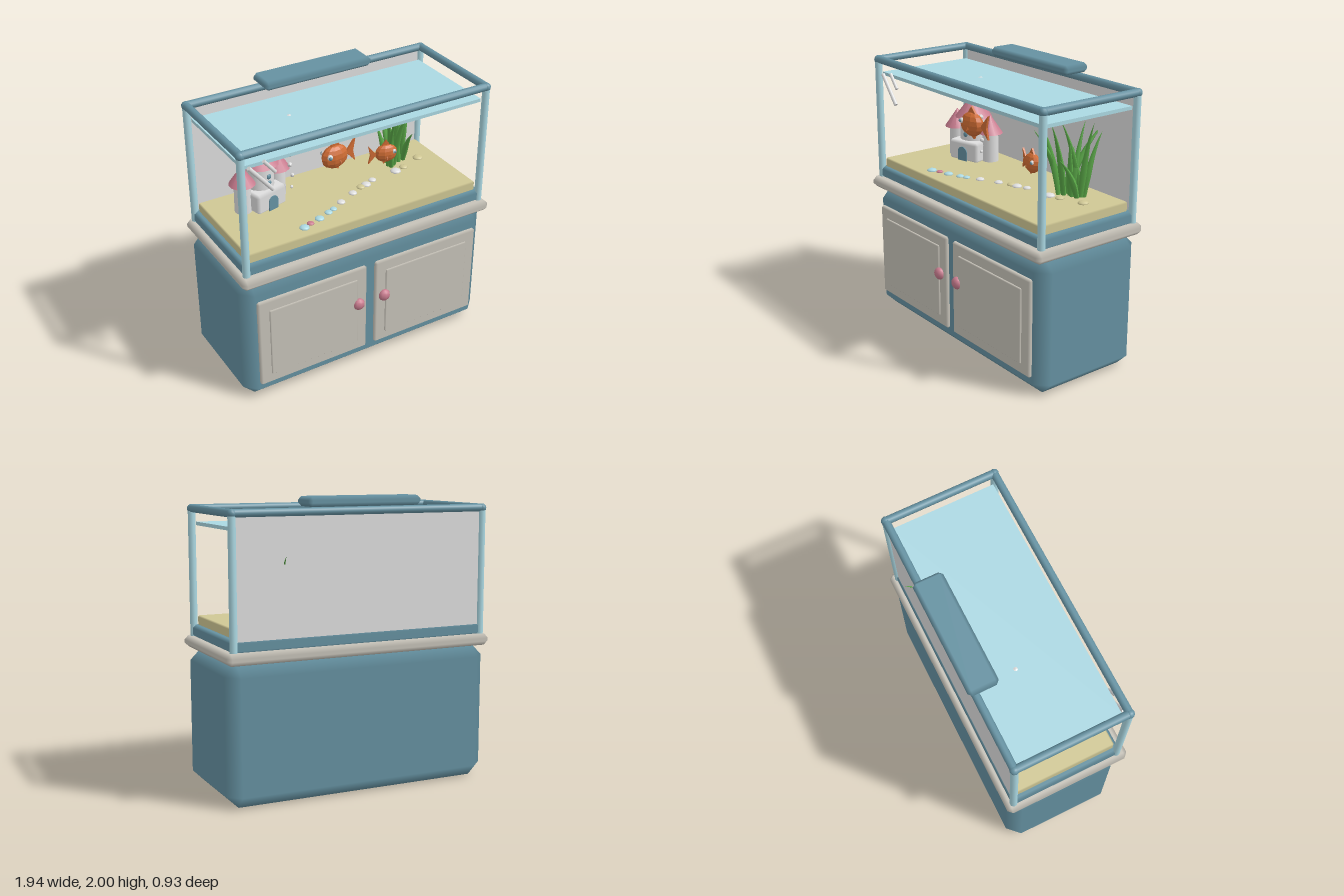
import * as THREE from 'three';
import { ConvexGeometry } from 'three/addons/geometries/ConvexGeometry.js';

const mat = (name, color, side = THREE.FrontSide) => {
  const m = new THREE.MeshStandardMaterial({ color, side });
  m.name = name;
  return m;
};

// Box with 45 degree edges, softly shaded: every corner point keeps the normal of its own face
function chamferBox(w, h, d, r) {
  const half = [w / 2, h / 2, d / 2], pts = [];
  for (let a = 0; a < 3; a++)
    for (const sx of [-1, 1]) for (const sy of [-1, 1]) for (const sz of [-1, 1])
      pts.push(new THREE.Vector3(...[sx, sy, sz].map((s, i) => s * (half[i] - (i === a ? 0 : r)))));
  const g = new ConvexGeometry(pts), p = g.attributes.position, n = g.attributes.normal;
  for (let i = 0; i < p.count; i++) {
    const v = [p.getX(i), p.getY(i), p.getZ(i)];
    n.setXYZ(i, ...v.map((c, k) => (Math.abs(Math.abs(c) - half[k]) < 1e-4 ? Math.sign(c) : 0)));
  }
  return g;
}

function flat(g) {
  const f = g.index ? g.toNonIndexed() : g;
  f.computeVertexNormals();
  return f;
}

// Curved blade: a tube whose rings shrink towards the tip
function bladeGeometry(base, tip, radius) {
  const mid = new THREE.Vector3(base.x * 0.75 + tip.x * 0.25, base.y + (tip.y - base.y) * 0.6, base.z * 0.75 + tip.z * 0.25);
  const curve = new THREE.QuadraticBezierCurve3(base, mid, tip);
  const n = 10, sides = 6, g = new THREE.TubeGeometry(curve, n, radius, sides);
  const p = g.attributes.position, v = new THREE.Vector3();
  for (let i = 0; i < p.count; i++) {
    const t = Math.floor(i / (sides + 1)) / n, c = curve.getPointAt(t);
    const k = t < 0.35 ? 0.65 + t : Math.max(0.02, Math.pow((1 - t) / 0.65, 0.85));
    v.fromBufferAttribute(p, i).sub(c).multiplyScalar(k).add(c);
    p.setXYZ(i, v.x, v.y, v.z);
  }
  g.computeVertexNormals();
  return g;
}

export function createModel() {
  const blue = mat('slate blue', 0x6591a1), beige = mat('warm grey', 0xc6c2b8);
  const pink = mat('rose', 0xca7d90), water = mat('water blue', 0xabd8e2);
  const white = mat('stone white', 0xdedede), sandMat = mat('sand', 0xcfc794, THREE.DoubleSide);
  const orange = mat('orange', 0xcf6c34), green = mat('leaf green', 0x58a546);

  const model = new THREE.Group();
  model.name = 'aquarium';
  const add = (parent, name, geo, material, x = 0, y = 0, z = 0) => {
    const m = new THREE.Mesh(geo, material);
    m.name = name;
    m.position.set(x, y, z);
    parent.add(m);
    return m;
  };
  // Chamfered box given by its limits
  const block = (parent, name, material, [x0, x1], [y0, y1], [z0, z1], r) =>
    add(parent, name, chamferBox(x1 - x0, y1 - y0, z1 - z0, r), material, (x0 + x1) / 2, (y0 + y1) / 2, (z0 + z1) / 2);
  // Round bar between two points
  const bar = (parent, name, material, a, b, r, sides = 12) => {
    const A = new THREE.Vector3(...a), B = new THREE.Vector3(...b), d = B.clone().sub(A);
    const m = add(parent, name, new THREE.CylinderGeometry(r, r, d.length(), sides), material);
    m.position.copy(A).add(B).multiplyScalar(0.5);
    m.quaternion.setFromUnitVectors(new THREE.Vector3(0, 1, 0), d.normalize());
    return m;
  };

  // Cabinet with two doors
  block(model, 'cabinet', blue, [-0.965, 0.962], [0, 0.955], [-0.443, 0.4], 0.085);
  block(model, 'counterTop', beige, [-0.972, 0.97], [0.95, 1.03], [-0.462, 0.44], 0.03);
  for (const [x0, x1, knobX] of [[-0.875, -0.038, -0.11], [0.03, 0.87, 0.097]]) {
    block(model, 'door', beige, [x0, x1], [0.13, 0.82], [0.38, 0.424], 0.014);
    block(model, 'doorPanel', beige, [x0 + 0.08, x1 - 0.08], [0.207, 0.74], [0.41, 0.435], 0.007);
    add(model, 'knob', new THREE.SphereGeometry(0.044, 8, 8), pink, knobX, 0.535, 0.433).scale.z = 0.75;
  }

  // Tank frame
  const X0 = -0.918, X1 = 0.912, Z0 = -0.405, Z1 = 0.37;
  block(model, 'tankBase', blue, [X0 - 0.015, X1 + 0.015], [1.02, 1.108], [Z0 - 0.015, Z1 + 0.015], 0.02);
  for (const x of [X0, X1]) {
    bar(model, 'topSideRail', blue, [x, 1.905, Z0], [x, 1.905, Z1], 0.027);
    for (const z of [Z0, Z1]) {
      bar(model, 'cornerPost', water, [x, 1.03, z], [x, 1.9, z], 0.026);
      add(model, 'cornerBall', new THREE.SphereGeometry(0.031, 12, 8), blue, x, 1.903, z);
    }
  }
  for (const z of [Z0, Z1]) bar(model, 'topLongRail', blue, [X0, 1.905, z], [X1, 1.905, z], 0.027);
  add(model, 'backPanel', new THREE.BoxGeometry(X1 - X0, 0.82, 0.012), white, (X0 + X1) / 2, 1.49, Z0);
  block(model, 'lampHood', blue, [-0.415, 0.404], [1.935, 2], [-0.453, -0.246], 0.024);
  add(model, 'waterSurface', new THREE.BoxGeometry(1.785, 0.024, 0.735), water, -0.004, 1.803, -0.018);
  block(model, 'sandBed', sandMat, [-0.897, 0.889], [1.1, 1.172], [-0.385, 0.355], 0.01);

  // Glass glints
  bar(model, 'glint', white, [-0.865, 1.805, 0.37], [-0.705, 1.612, 0.37], 0.014, 8);
  bar(model, 'glint', white, [-0.762, 1.825, 0.37], [-0.685, 1.73, 0.37], 0.012, 8);

  // Castle
  const castle = new THREE.Group();
  castle.name = 'castle';
  castle.position.set(-0.525, 1.165, -0.18);
  castle.rotation.y = 0.25;
  model.add(castle);
  for (const [x, r, h, roofR, roofH] of [[0, 0.1, 0.32, 0.136, 0.175], [-0.155, 0.06, 0.22, 0.092, 0.135], [0.155, 0.06, 0.22, 0.092, 0.135]]) {
    add(castle, 'tower', new THREE.CylinderGeometry(r * 0.95, r, h, 16), white, x, h / 2, 0);
    add(castle, 'towerRoof', new THREE.ConeGeometry(roofR, roofH, 12), pink, x, h + roofH / 2 - 0.005, 0);
  }
  block(castle, 'gateWall', white, [-0.13, 0.13], [0, 0.15], [-0.02, 0.13], 0.02);
  const arch = new THREE.Shape().moveTo(-0.04, 0).lineTo(0.04, 0).lineTo(0.04, 0.07);
  arch.absarc(0, 0.07, 0.04, 0, Math.PI, false);
  add(castle, 'gate', new THREE.ExtrudeGeometry(arch, { depth: 0.009, bevelEnabled: false }), blue, 0, 0, 0.128);
  for (const y of [0.195, 0.243])
    add(castle, 'towerWindow', new THREE.SphereGeometry(0.019, 8, 6), blue, 0, y, 0.096).scale.z = 0.5;
  bar(castle, 'flagPole', blue, [0, 0.47, 0], [0, 0.61, 0], 0.01, 8);
  const flag = new THREE.Shape().moveTo(0, 0).lineTo(0.075, 0.024).lineTo(0, 0.048);
  add(castle, 'flag', new THREE.ExtrudeGeometry(flag, { depth: 0.008, bevelEnabled: false }), sandMat, 0.005, 0.555, -0.004);

  // Fish, built facing +x
  const fin = (pts) => {
    const g = new THREE.ExtrudeGeometry(new THREE.Shape(pts.map((p) => new THREE.Vector2(...p))), { depth: 0.016, bevelEnabled: false });
    return g.translate(0, 0, -0.008);
  };
  const makeFish = (x, y, z, size, yaw) => {
    const f = new THREE.Group();
    f.name = 'fish';
    f.position.set(x, y, z);
    f.rotation.y = yaw;
    f.scale.setScalar(size);
    model.add(f);
    add(f, 'fishBody', flat(new THREE.SphereGeometry(1, 10, 8).scale(0.103, 0.084, 0.055)), orange);
    add(f, 'tailFin', fin([[-0.09, 0], [-0.165, 0.088], [-0.147, 0], [-0.165, -0.082]]), orange);
    add(f, 'topFin', fin([[0.04, 0.07], [0, 0.128], [-0.05, 0.065]]), orange);
    add(f, 'bottomFin', fin([[0.025, -0.07], [-0.04, -0.06], [-0.025, -0.1]]), orange);
    for (const s of [-1, 1]) {
      add(f, 'sideFin', new THREE.ConeGeometry(0.018, 0.04, 4), orange, -0.01, -0.025, s * 0.052).rotation.x = s * 2.2;
      add(f, 'eye', new THREE.SphereGeometry(0.02, 8, 6), white, 0.062, 0.022, s * 0.035);
      add(f, 'pupil', new THREE.SphereGeometry(0.013, 8, 6), blue, 0.067, 0.022, s * 0.047);
    }
  };
  makeFish(-0.122, 1.56, 0.13, 1, Math.PI + 0.1);
  makeFish(0.37, 1.382, 0, 0.8, -0.2);

  // Water plants: base x, z, then tip x, y, z
  for (const [bx, bz, tx, ty, tz] of [
    [0.5, -0.12, 0.385, 1.69, -0.03], [0.49, -0.15, 0.42, 1.62, 0.03], [0.53, -0.14, 0.56, 1.68, 0],
    [0.52, -0.18, 0.57, 1.63, -0.46], [0.5, -0.2, 0.46, 1.47, -0.29], [0.63, -0.2, 0.72, 1.69, -0.22],
    [0.6, -0.22, 0.52, 1.67, -0.12], [0.64, -0.22, 0.65, 1.6, -0.36], [0.63, -0.17, 0.61, 1.45, -0.03],
    [0.59, -0.16, 0.55, 1.66, -0.3], [0.56, -0.17, 0.58, 1.56, -0.14],
  ])
    add(model, 'plantBlade', bladeGeometry(new THREE.Vector3(bx, 1.16, bz), new THREE.Vector3(tx, ty, tz), 0.024), green);

  // Pebbles: x, z, radius, material
  for (const [x, z, r, m] of [
    [-0.43, 0.26, 0.036, water], [-0.37, 0.235, 0.026, pink], [-0.29, 0.215, 0.034, water], [-0.2, 0.18, 0.029, water],
    [-0.15, 0.16, 0.026, water], [-0.06, 0.11, 0.031, white], [0.07, 0.05, 0.031, white], [0.16, 0.01, 0.032, sandMat],
    [0.21, 0, 0.036, white], [0.28, -0.03, 0.029, white], [0.49, -0.05, 0.04, white], [0.57, -0.07, 0.032, sandMat],
    [0.735, -0.13, 0.038, sandMat],
  ])
    add(model, 'pebble', new THREE.SphereGeometry(r, 8, 6), m, x, 1.174, z).scale.y = 0.45;

  // Rising bubbles: x, y, radius
  for (const [x, y, r] of [
    [-0.33, 1.793, 0.027], [-0.338, 1.705, 0.026], [-0.318, 1.62, 0.023], [-0.333, 1.525, 0.02],
    [-0.335, 1.445, 0.017], [-0.318, 1.36, 0.015], [-0.325, 1.27, 0.012],
  ])
    add(model, 'bubble', flat(new THREE.SphereGeometry(r, 6, 5)), white, x, y, -0.1);

  return model;
}
